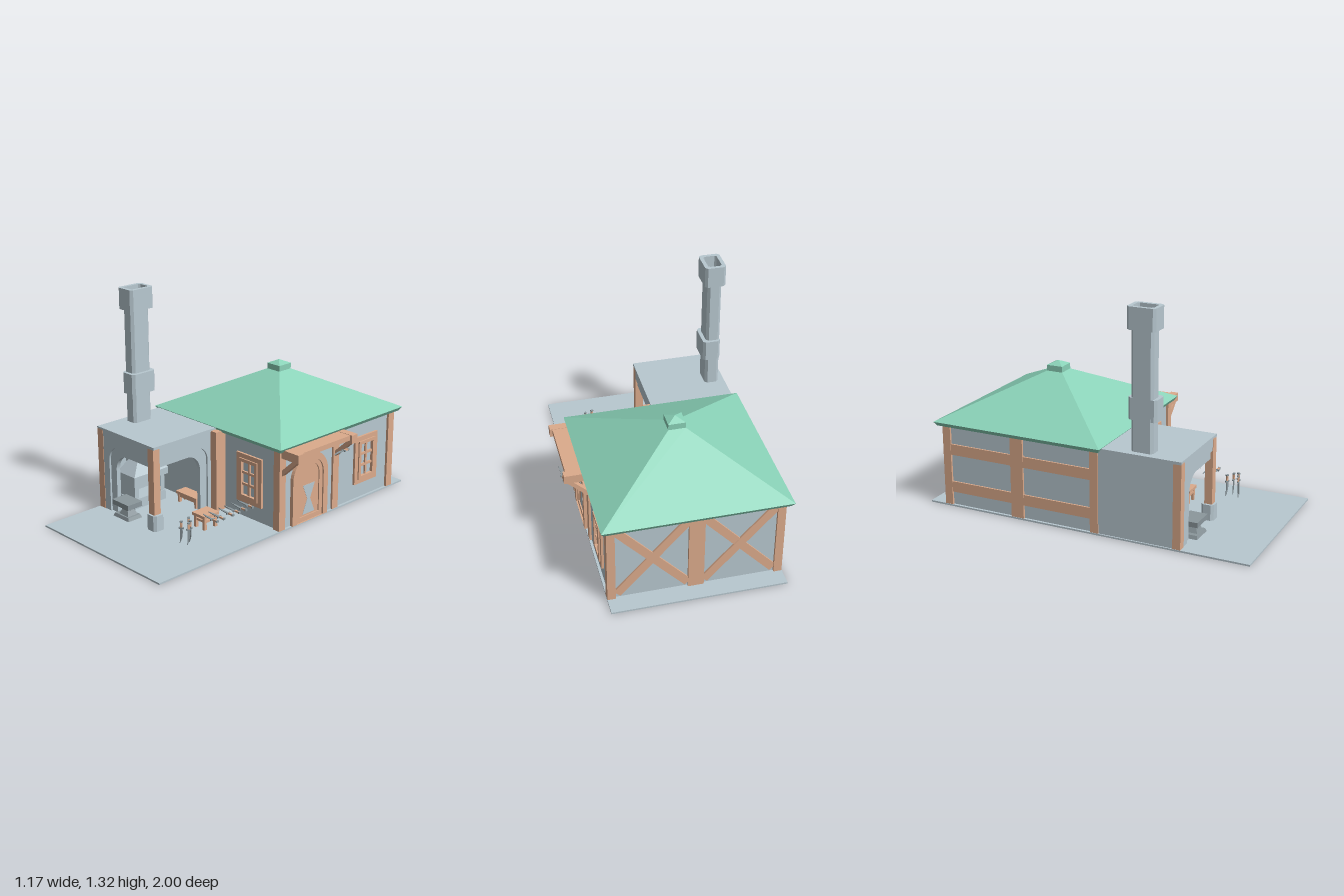
import * as THREE from 'three';

const mat = (color) => new THREE.MeshStandardMaterial({ color, flatShading: true, side: THREE.DoubleSide });

export function createModel() {
  const root = new THREE.Group();
  const stone = mat(0xb8c8d0), wood = mat(0xdcab8c), green = mat(0x8ad2b8), iron = mat(0x8b979c);

  const add = (name, geo, m, parent = root) => {
    const mesh = new THREE.Mesh(geo, m);
    mesh.name = name;
    parent.add(mesh);
    return mesh;
  };
  const box = (name, m, x0, x1, y0, y1, z0, z1, parent = root) => {
    const mesh = add(name, new THREE.BoxGeometry(x1 - x0, y1 - y0, z1 - z0), m, parent);
    mesh.position.set((x0 + x1) / 2, (y0 + y1) / 2, (z0 + z1) / 2);
    return mesh;
  };
  // Box whose top is resized to w1 x d1
  const frustum = (name, m, cx, cz, w0, d0, w1, d1, y0, y1) => {
    const geo = new THREE.BoxGeometry(w0, y1 - y0, d0), p = geo.attributes.position;
    for (let i = 0; i < p.count; i++)
      if (p.getY(i) > 0) p.setXYZ(i, p.getX(i) * w1 / w0, p.getY(i), p.getZ(i) * d1 / d0);
    geo.computeVertexNormals();
    const mesh = add(name, geo, m);
    mesh.position.set(cx, (y0 + y1) / 2, cz);
    return mesh;
  };
  // Slanted beam in the xy plane
  const brace = (name, x0, y0, x1, y1, z, w, d) => {
    const mesh = add(name, new THREE.BoxGeometry(Math.hypot(x1 - x0, y1 - y0), w, d), wood);
    mesh.position.set((x0 + x1) / 2, (y0 + y1) / 2, z);
    mesh.rotation.z = Math.atan2(y1 - y0, x1 - x0);
    return mesh;
  };
  const extrude = (shape, depth) =>
    new THREE.ExtrudeGeometry(shape, { depth, bevelEnabled: false, curveSegments: 10 });
  const poly = (pts, Type = THREE.Shape) => new Type(pts.map(([x, y]) => new THREE.Vector2(x, y)));
  const rect = (x0, x1, y0, y1, Type) => poly([[x0, y0], [x1, y0], [x1, y1], [x0, y1]], Type);

  box('ground', stone, -0.555, 0.445, 0, 0.01, -1, 1);

  // House walls and posts
  box('houseWalls', stone, -0.54, 0.43, 0.01, 0.5, -0.885, 0.09);
  for (const [x, z] of [[-0.553, -0.9], [0.398, -0.9], [0.398, 0.055], [-0.553, 0.055]])
    box('cornerPost', wood, x, x + 0.047, 0.01, 0.505, z, z + 0.05);
  box('frontPost', wood, -0.055, -0.008, 0.01, 0.505, 0.08, 0.165);
  box('doorPost', wood, 0.4, 0.443, 0.01, 0.46, -0.4, -0.35);
  box('backPost', wood, -0.1, -0.01, 0.01, 0.505, -0.9, -0.86);
  box('leftPost', wood, -0.553, -0.5, 0.01, 0.505, -0.45, -0.37);
  for (const [z0, z1] of [[-0.86, -0.44], [-0.38, 0.06]])
    for (const y of [0.09, 0.32]) box('leftRail', wood, -0.55, -0.52, y, y + 0.065, z0, z1);
  for (const [x0, x1] of [[-0.5, -0.1], [-0.01, 0.39]]) {
    brace('backBrace', x0, 0.04, x1, 0.48, -0.885, 0.05, 0.02);
    brace('backBrace', x0, 0.48, x1, 0.04, -0.886, 0.05, 0.02);
  }

  // Hipped roof with a small cap
  frustum('roofEave', green, -0.055, -0.403, 1.03, 1.04, 1.065, 1.07, 0.495, 0.52);
  frustum('roof', green, -0.055, -0.403, 1.065, 1.07, 0.1, 0.1, 0.52, 0.762);
  box('roofCap', green, -0.105, -0.005, 0.755, 0.797, -0.453, -0.353);
  frustum('roofTip', green, -0.055, -0.403, 0.1, 0.1, 0.002, 0.002, 0.797, 0.82);

  // Windows: outer and inner frame, pane and glazing bars, facing local +z
  const makeWindow = (name) => {
    const g = new THREE.Group();
    g.name = name;
    const ring = (w, h, t, depth) => {
      const s = rect(-w, w, -h, h);
      s.holes.push(rect(-w + t, w - t, -h + t, h - t, THREE.Path));
      add('windowFrame', extrude(s, depth), wood, g);
    };
    ring(0.102, 0.15, 0.032, 0.014);
    ring(0.073, 0.122, 0.02, 0.022);
    box('windowPane', stone, -0.06, 0.06, -0.11, 0.11, 0, 0.003, g);
    box('glazingBar', wood, -0.007, 0.007, -0.11, 0.11, 0, 0.014, g);
    for (const y of [-0.036, 0.036]) box('glazingBar', wood, -0.06, 0.06, y - 0.007, y + 0.007, 0, 0.014, g);
    root.add(g);
    return g;
  };
  makeWindow('frontWindow').position.set(0.198, 0.255, 0.09);
  const side = makeWindow('sideWindow');
  side.position.set(0.43, 0.255, -0.648);
  side.rotation.y = Math.PI / 2;

  // Round-topped door on the right wall
  const door = new THREE.Group();
  door.name = 'door';
  door.position.set(0.43, 0, -0.148);
  door.rotation.y = Math.PI / 2;
  root.add(door);
  const arch = (r, y0, Type) => {
    const s = new Type();
    s.moveTo(-r, y0).lineTo(r, y0).lineTo(r, 0.28).absarc(0, 0.28, r, 0, Math.PI, false).lineTo(-r, y0);
    return s;
  };
  const archRing = (name, r, t, y0, y1, depth) => {
    const s = arch(r, y0, THREE.Shape);
    s.holes.push(arch(r - t, y1, THREE.Path));
    add(name, extrude(s, depth), wood, door);
  };
  archRing('doorFrame', 0.148, 0.038, 0.01, 0.011, 0.022);
  archRing('doorLeafEdge', 0.112, 0.03, 0.01, 0.04, 0.013);
  add('doorPanel', extrude(arch(0.09, 0.03, THREE.Shape), 0.006), wood, door);
  add('doorInset', extrude(poly([[-0.05, 0.05], [0.05, 0.05], [0.012, 0.14], [0.05, 0.23],
    [-0.05, 0.23], [-0.012, 0.14]]), 0.008), stone, door);

  // Awning over the door
  box('awning', wood, 0.42, 0.56, 0.475, 0.505, -0.37, 0.06);
  for (const z of [0.07, -0.38]) {
    box('awningBeam', wood, 0.42, 0.575, 0.456, 0.507, z - 0.024, z + 0.024);
    brace('awningBracket', 0.437, 0.355, 0.55, 0.462, z, 0.025, 0.036);
  }

  // Forge shed: back and left walls, two open arches, flat roof
  box('shedBackWall', stone, -0.54, -0.055, 0.01, 0.505, 0.085, 0.15);
  box('shedLeftWall', stone, -0.547, -0.5, 0.01, 0.505, 0.1, 0.56);
  box('shedRoof', stone, -0.555, -0.052, 0.5, 0.516, 0.1, 0.602);
  const halfArch = (u, top) => {
    const s = new THREE.Shape(), r = 0.1;
    s.moveTo(0, 0.01).lineTo(u, 0.01).lineTo(u, top - r).absarc(u + r, top - r, r, Math.PI, Math.PI / 2, true);
    s.lineTo(0.41, top).lineTo(0.41, 0.505).lineTo(0, 0.505);
    return s;
  };
  for (const [u, top, inset] of [[0.053, 0.43, 0], [0.103, 0.38, 0.012]]) {
    const depth = 0.05 - 2 * inset;
    add('frontArch', extrude(halfArch(u, top), depth), stone).position.set(-0.508, 0, 0.549 + inset);
    const m = add('sideArch', extrude(halfArch(u - 0.012, top), depth), stone);
    m.rotation.y = -Math.PI / 2;
    m.position.set(-0.056 - inset, 0, 0.148);
  }
  box('shedPost', wood, -0.553, -0.505, 0.01, 0.505, 0.555, 0.602);
  box('shedPost', wood, -0.103, -0.055, 0.09, 0.505, 0.555, 0.602);

  // Chamfered upright blocks, hollow when given a wall thickness
  const chamfered = (w, d, c, Type) => poly([[-w + c, -d], [w - c, -d], [w, -d + c], [w, d - c],
    [w - c, d], [-w + c, d], [-w, d - c], [-w, -d + c]], Type);
  const upright = (name, m, cx, cz, w, d, y0, y1, wall = 0) => {
    const s = chamfered(w / 2, d / 2, 0.015, THREE.Shape);
    if (wall) s.holes.push(chamfered(w / 2 - wall, d / 2 - wall, 0.01, THREE.Path));
    const mesh = add(name, extrude(s, y1 - y0).rotateX(-Math.PI / 2), m);
    mesh.position.set(cx, y0, cz);
  };
  upright('postFooting', stone, -0.078, 0.577, 0.08, 0.075, 0.01, 0.105);
  upright('chimneyShaft', stone, -0.474, 0.352, 0.084, 0.132, 0.51, 1.21, 0.012);
  upright('chimneyCollar', stone, -0.463, 0.353, 0.105, 0.17, 0.695, 0.82);
  upright('chimneyTop', stone, -0.473, 0.353, 0.125, 0.168, 1.195, 1.32, 0.022);

  // Hearth with hood
  box('hearthBase', stone, -0.5, -0.365, 0.01, 0.07, 0.25, 0.49);
  box('hearthBack', stone, -0.505, -0.48, 0.07, 0.2, 0.26, 0.48);
  for (const z of [0.255, 0.455]) box('hearthPillar', stone, -0.5, -0.37, 0.07, 0.18, z, z + 0.03);
  box('hoodRim', stone, -0.505, -0.345, 0.18, 0.22, 0.245, 0.505);
  frustum('hood', stone, -0.425, 0.375, 0.16, 0.26, 0.07, 0.13, 0.22, 0.3);
  box('flue', stone, -0.505, -0.4, 0.27, 0.5, 0.31, 0.44);

  // Anvil
  frustum('anvilFoot', iron, -0.322, 0.582, 0.145, 0.108, 0.12, 0.09, 0.002, 0.03);
  frustum('anvilWaist', iron, -0.315, 0.582, 0.08, 0.07, 0.05, 0.05, 0.03, 0.06);
  frustum('anvilNeck', iron, -0.315, 0.582, 0.05, 0.05, 0.1, 0.08, 0.06, 0.085);
  box('anvilTop', iron, -0.395, -0.25, 0.083, 0.113, 0.53, 0.635);

  // Stool and bench
  const seat = (name, x0, x1, top, z0, z1) => {
    const g = new THREE.Group(), t = 0.017;
    g.name = name;
    root.add(g);
    box('seat', wood, x0, x1, top - t, top, z0, z1, g);
    for (const x of [x0 + 0.008, x1 - 0.008 - t]) {
      for (const z of [z0 + 0.008, z1 - 0.008 - t]) box('leg', wood, x, x + t, 0.01, top - t, z, z + t, g);
      box('sideRail', wood, x, x + t, top * 0.55, top * 0.55 + 0.014, z0 + 0.01, z1 - 0.01, g);
    }
    for (const z of [z0 + 0.01, z1 - 0.024])
      box('longRail', wood, x0 + 0.01, x1 - 0.01, top * 0.55, top * 0.55 + 0.014, z, z + 0.014, g);
  };
  seat('stool', 0.043, 0.147, 0.1, 0.29, 0.405);
  seat('bench', -0.29, -0.11, 0.08, 0.155, 0.235);

  // Blades: tip at the origin, handle towards +x, flat in xy
  const blade = (name, px, py, pz, rx, ry, rz, bend = 0.01) => {
    const g = new THREE.Group(), s = new THREE.Shape();
    g.name = name;
    s.moveTo(0, bend).quadraticCurveTo(0.035, -0.012, 0.09, -0.007).lineTo(0.09, 0.007);
    s.quadraticCurveTo(0.045, 0.006, 0, bend);
    add('bladeSteel', extrude(s, 0.004).translate(0, 0, -0.002), iron, g);
    box('bladeGuard', iron, 0.088, 0.096, -0.014, 0.014, -0.005, 0.005, g);
    box('bladeHandle', wood, 0.096, 0.126, -0.005, 0.005, -0.005, 0.005, g);
    box('bladePommel', iron, 0.126, 0.134, -0.008, 0.008, -0.006, 0.006, g);
    g.position.set(px, py, pz);
    g.rotation.set(rx, ry, rz);
    root.add(g);
  };
  [0.2, 0.255, 0.305, 0.355, 0.425, 0.475].forEach((z, i) =>
    blade('lyingBlade', 0.198, 0.155, z, Math.PI / 2, 0, 0, i % 2 ? -0.012 : -0.004));
  [[0.205, 0.575], [0.245, 0.6], [0.215, 0.64], [0.26, 0.625]].forEach(([x, z], i) =>
    blade('hangingBlade', x, 0.04, z, 0, 0.5 * (i - 1), Math.PI / 2));
  blade('awningBlade', 0.565, 0.43, -0.205, Math.PI / 2, 0, Math.PI * 1.5);

  return root;
}
